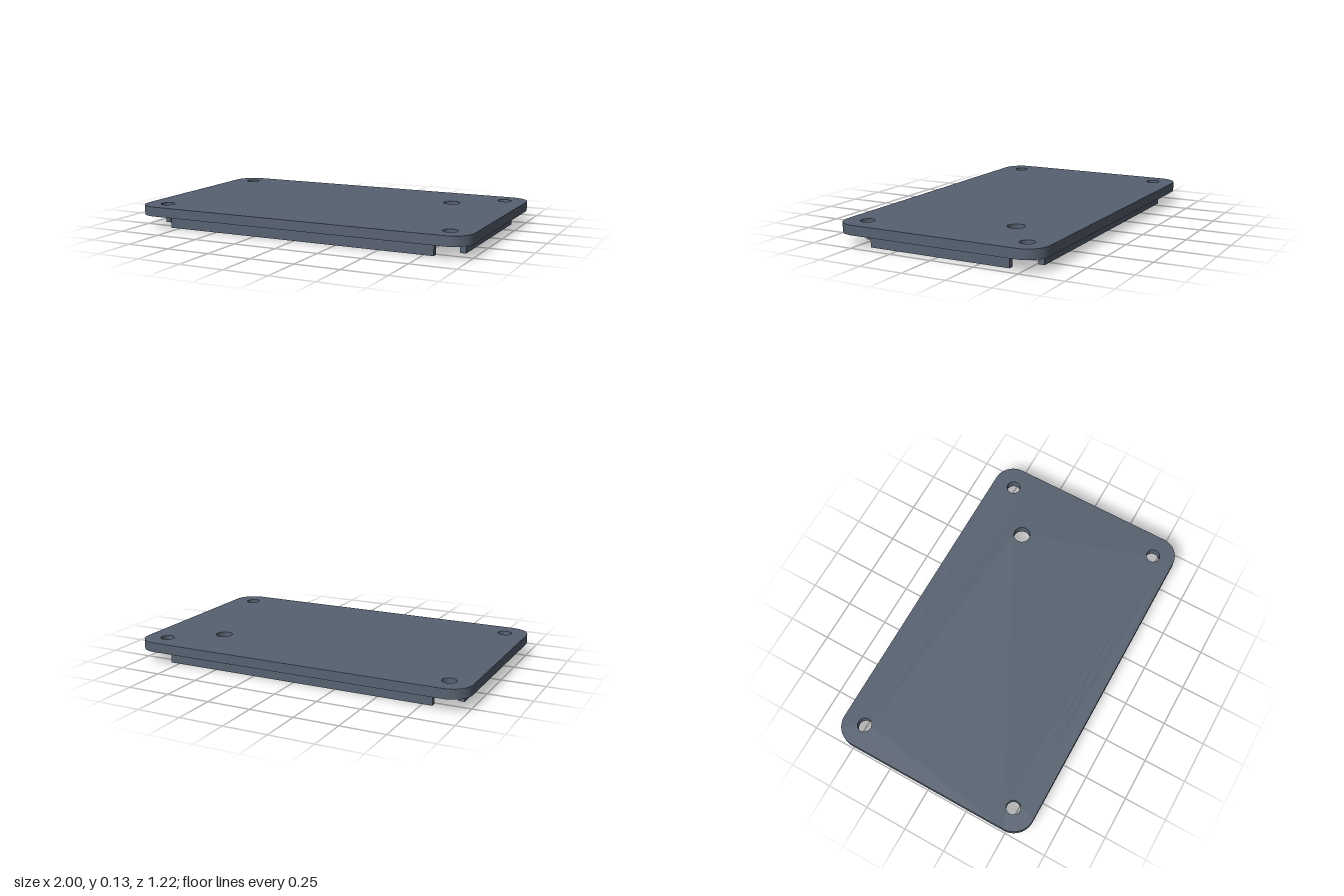
import * as THREE from 'three';
import { toCreasedNormals } from 'three/addons/utils/BufferGeometryUtils.js';

const HALF_X = 1, HALF_Z = 0.61, CORNER = 0.12;
const RIB_HEIGHT = 0.071, TOP = 0.126;

// Rounded rectangle drawn in plan (shape y = -z)
function plateOutline() {
  const s = new THREE.Shape();
  const x = HALF_X - CORNER, y = HALF_Z - CORNER;
  s.absarc(x, y, CORNER, 0, Math.PI / 2);
  s.absarc(-x, y, CORNER, Math.PI / 2, Math.PI);
  s.absarc(-x, -y, CORNER, Math.PI, Math.PI * 1.5);
  s.absarc(x, -y, CORNER, Math.PI * 1.5, Math.PI * 2);
  s.closePath();
  return s;
}

export function createModel() {
  const model = new THREE.Group();
  model.name = 'enclosureLid';
  const slate = new THREE.MeshStandardMaterial({ color: 0x566170 });
  slate.name = 'slate grey';

  // Lid plate with through holes
  const outline = plateOutline();
  const drill = (x, z, r) =>
    outline.holes.push(new THREE.Path().absarc(x, -z, r, 0, Math.PI * 2, true));
  for (const x of [-0.87, 0.87]) for (const z of [-0.482, 0.482]) drill(x, z, 0.04);
  drill(0.61, -0.28, 0.049);

  const plateGeometry = new THREE.ExtrudeGeometry(outline, {
    depth: TOP - RIB_HEIGHT, bevelEnabled: false, curveSegments: 16,
  });
  plateGeometry.rotateX(-Math.PI / 2).translate(0, RIB_HEIGHT, 0);
  const plate = new THREE.Mesh(toCreasedNormals(plateGeometry, Math.PI / 5), slate);
  plate.name = 'lidPlate';
  model.add(plate);

  // Locating ribs under the plate
  const addRib = (name, width, depth, x, z) => {
    const rib = new THREE.Mesh(new THREE.BoxGeometry(width, RIB_HEIGHT, depth), slate);
    rib.name = name;
    rib.position.set(x, RIB_HEIGHT / 2, z);
    model.add(rib);
  };
  addRib('frontRib', 1.61, 0.033, 0, 0.528);
  addRib('backRib', 1.61, 0.033, 0, -0.528);
  addRib('leftRib', 0.033, 0.836, 0.918, 0);
  addRib('rightRib', 0.033, 0.836, -0.918, 0);

  return model;
}
